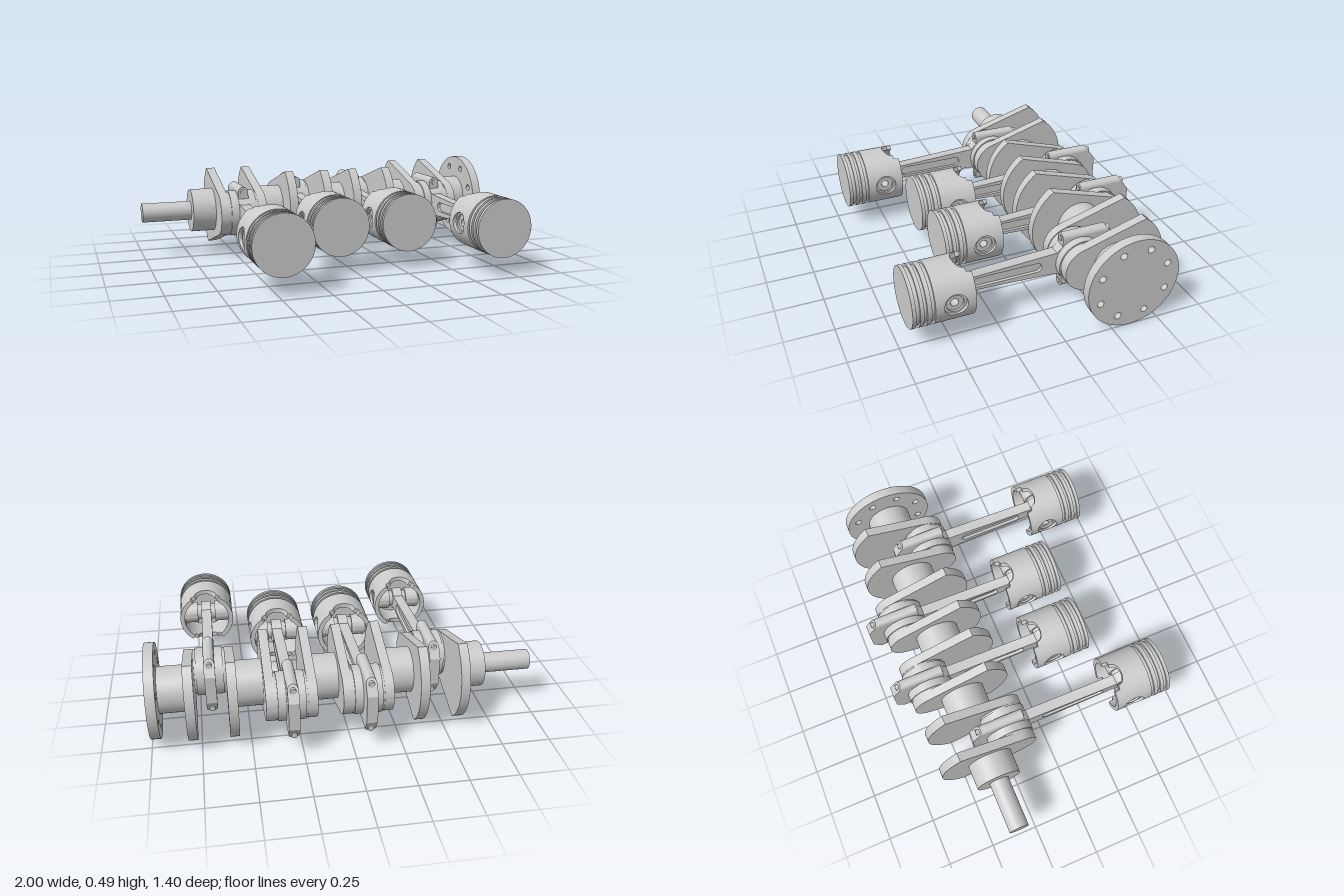
import * as THREE from 'three';
import { toCreasedNormals } from 'three/addons/utils/BufferGeometryUtils.js';

const material = new THREE.MeshStandardMaterial({ color: 0xcccccc });
const AXIS_Y = 0.245, AXIS_Z = -0.35, THROW = 0.15, ROD = 0.69;
const PI = Math.PI;

function add(parent, name, geometry, x = 0, y = 0, z = 0) {
  const mesh = new THREE.Mesh(geometry, material);
  mesh.name = name;
  mesh.position.set(x, y, z);
  parent.add(mesh);
  return mesh;
}

// Solid round bar along x
const bar = (r, length) => new THREE.CylinderGeometry(r, r, length, 64).rotateZ(-PI / 2);

// Hollow round bar along x
function tube(inner, outer, length) {
  const h = length / 2;
  const profile = [[inner, -h], [outer, -h], [outer, h], [inner, h], [inner, -h]];
  const g = new THREE.LatheGeometry(profile.map(p => new THREE.Vector2(...p)), 48);
  return toCreasedNormals(g.rotateZ(-PI / 2), 0.6);
}

// Plate of a given thickness along x; shape x becomes z
function plate(shape, thickness) {
  const g = new THREE.ExtrudeGeometry(shape, { depth: thickness, bevelEnabled: false, curveSegments: 32 });
  return toCreasedNormals(g.translate(0, 0, -thickness / 2).rotateY(-PI / 2), 0.5);
}

// Surface over a grid of points
function loft(ni, nj, point) {
  const pos = [], index = [];
  for (let i = 0; i <= ni; i++) {
    for (let j = 0; j <= nj; j++) {
      pos.push(...point(i, j));
      if (i < ni && j < nj) {
        const a = i * (nj + 1) + j, b = a + nj + 1;
        index.push(a, b, b + 1, a, b + 1, a + 1);
      }
    }
  }
  const g = new THREE.BufferGeometry();
  g.setAttribute('position', new THREE.Float32BufferAttribute(pos, 3));
  g.setIndex(index);
  return toCreasedNormals(g, 0.5);
}

function hole(x, y, r) {
  return new THREE.Path().absarc(x, y, r, 0, 2 * PI, true);
}

// Crank web: wide counterweight arc behind, rounded nose around the crankpin
function webGeometry() {
  const s = new THREE.Shape();
  const a = Math.atan2(0.218, -0.155);
  s.absarc(0, 0, 0.268, a, 2 * PI - a, false);
  s.absarc(THROW, 0, 0.12, -1.25, 1.25, false);
  s.closePath();
  return plate(s, 0.048);
}

function buildCrankshaft(centres) {
  const crank = new THREE.Group();
  crank.name = 'crankshaft';
  crank.position.set(0, AXIS_Y, AXIS_Z);
  add(crank, 'snout', bar(0.053, 0.28), -0.86);

  const web = webGeometry();
  let start = -0.73;
  centres.forEach(([x, dir], i) => {
    // main journal leading up to this throw
    const end = x - 0.105;
    add(crank, 'mainJournal' + i, bar(0.12, end - start), (start + end) / 2);
    start = x + 0.105;
    for (const side of [-1, 1]) {
      const mesh = add(crank, 'crankWeb', web, x + side * 0.104);
      mesh.rotation.y = dir > 0 ? 0 : PI;
    }
    add(crank, 'crankpin', bar(0.118, 0.18), x, 0, dir * THROW);
  });
  add(crank, 'rearJournal', bar(0.12, 0.955 - start), (start + 0.955) / 2);

  // flange with a ring of bolt holes
  const disc = new THREE.Shape().absarc(0, 0, 0.245, 0, 2 * PI, false);
  for (let i = 0; i < 8; i++) {
    const a = (i + 0.5) * PI / 4;
    disc.holes.push(hole(0.19 * Math.cos(a), 0.19 * Math.sin(a), 0.018));
  }
  add(crank, 'flange', plate(disc, 0.05), 0.975);
  return crank;
}

// Connecting rod, origin at the crankpin, running along +z
function buildRod() {
  const rod = new THREE.Group();
  rod.name = 'connectingRod';
  const s = new THREE.Shape();
  const half = [[-0.2, 0.075], [-0.164, 0.127], [0.09, 0.127], [0.09, 0.09], [0.12, 0.061], [0.64, 0.035]];
  half.forEach(([w, y], i) => (i ? s.lineTo(w, -y) : s.moveTo(w, -y)));
  s.absarc(ROD, 0, 0.061, -2.53, 2.53, false);
  half.slice().reverse().forEach(([w, y]) => s.lineTo(w, y));
  s.closePath();
  const slot = new THREE.Path();
  slot.absarc(0.226, 0, 0.026, PI / 2, PI * 1.5, false);
  slot.absarc(0.534, 0, 0.026, -PI / 2, PI / 2, false);
  slot.closePath();
  s.holes.push(slot, hole(ROD, 0, 0.044));
  add(rod, 'rodBody', plate(s, 0.056));
  add(rod, 'shankWeb', new THREE.BoxGeometry(0.024, 0.056, 0.37), 0, 0, 0.38);
  add(rod, 'bigEndRing', bar(0.125, 0.14));

  // bolt bosses, their cap ends cut on a slope
  for (const side of [-1, 1]) {
    const boss = new THREE.CylinderGeometry(0.028, 0.028, 0.235, 32).rotateX(PI / 2).translate(0, side * 0.127, -0.0275);
    const p = boss.attributes.position;
    for (let i = 0; i < p.count; i++) {
      if (p.getZ(i) < 0) p.setZ(i, -0.145 - (0.155 - Math.abs(p.getY(i))) * 0.6875);
    }
    add(rod, 'boltBoss', toCreasedNormals(boss, 0.6));
    const bolt = new THREE.CylinderGeometry(0.015, 0.015, 0.268, 24).rotateX(PI / 2);
    add(rod, 'capBolt', bolt, 0, side * 0.127, -0.039);
  }
  return rod;
}

const R_OUT = 0.153, R_IN = 0.128, SKIRT = 0.1;
const bend = (r, a, z) => [r * Math.cos(a), r * Math.sin(a), z];

// Skirt panel pierced by the round pin opening
function pinPanel() {
  const steps = 8, n = 64;
  return loft(n, 2 * steps + 2, (i, j) => {
    const phi = i / n * 2 * PI, c = Math.cos(phi), s = Math.sin(phi);
    const k = j % (2 * steps + 2);
    const outer = k <= steps;
    const t = outer ? k / steps : (2 * steps + 1 - k) / steps;
    const reach = SKIRT / Math.max(Math.abs(c), Math.abs(s));
    const d = THREE.MathUtils.lerp(reach, 0.058, t);
    return bend(outer ? R_OUT : R_IN, d * c / R_OUT, d * s);
  });
}

// Skirt panel with the rod clearance notch in its lower edge
function notchPanel() {
  const n = 64, a0 = SKIRT / R_OUT, a1 = PI - a0;
  return loft(n, 4, (i, j) => {
    const a = a0 + (a1 - a0) * i / n, x = Math.abs(R_OUT * Math.cos(a));
    let low = -SKIRT;
    if (x < 0.085) low += 0.028;
    if (x < 0.06) low += 0.01 + 0.032 * Math.sqrt(1 - (x / 0.06) ** 2);
    return bend(j % 4 < 2 ? R_OUT : R_IN, a, j === 1 || j === 2 ? SKIRT : low);
  });
}

// Piston, origin at the wrist pin, crown towards +z
function buildPiston() {
  const piston = new THREE.Group();
  piston.name = 'piston';
  const g = 0.141;
  const profile = [[0, 0.085], [R_IN + 0.004, 0.085], [g, 0.097], [g, 0.117], [R_OUT, 0.117], [R_OUT, 0.139],
    [g, 0.139], [g, 0.154], [R_OUT, 0.154], [R_OUT, 0.173], [g, 0.173], [g, 0.192], [R_OUT, 0.192], [R_OUT, 0.21], [0, 0.21]];
  const crown = new THREE.LatheGeometry(profile.map(p => new THREE.Vector2(...p)), 64).rotateX(PI / 2);
  add(piston, 'crownAndRingLands', toCreasedNormals(crown, 0.5));
  const pin = pinPanel(), notch = notchPanel(), boss = tube(0.044, 0.059, 0.085);
  for (const side of [0, 1]) {
    add(piston, 'pinSkirt', pin).rotation.z = side * PI;
    add(piston, 'notchedSkirt', notch).rotation.z = side * PI;
    add(piston, 'pinBoss', boss, side ? -0.0925 : 0.0925);
  }
  add(piston, 'wristPin', tube(0.02, 0.045, 0.25));
  return piston;
}

export function createModel() {
  const model = new THREE.Group();
  model.name = 'crankshaftAssembly';
  // throw centre along x, and which way its crankpin points
  const centres = [[-0.475, 1], [-0.084, -1], [0.298, -1], [0.687, 1]];
  model.add(buildCrankshaft(centres));
  const rod = buildRod(), piston = buildPiston();
  for (const [x, dir] of centres) {
    const z = AXIS_Z + dir * THROW;
    const r = rod.clone(), p = piston.clone();
    r.position.set(x, AXIS_Y, z);
    p.position.set(x, AXIS_Y, z + ROD);
    model.add(r, p);
  }
  return model;
}
